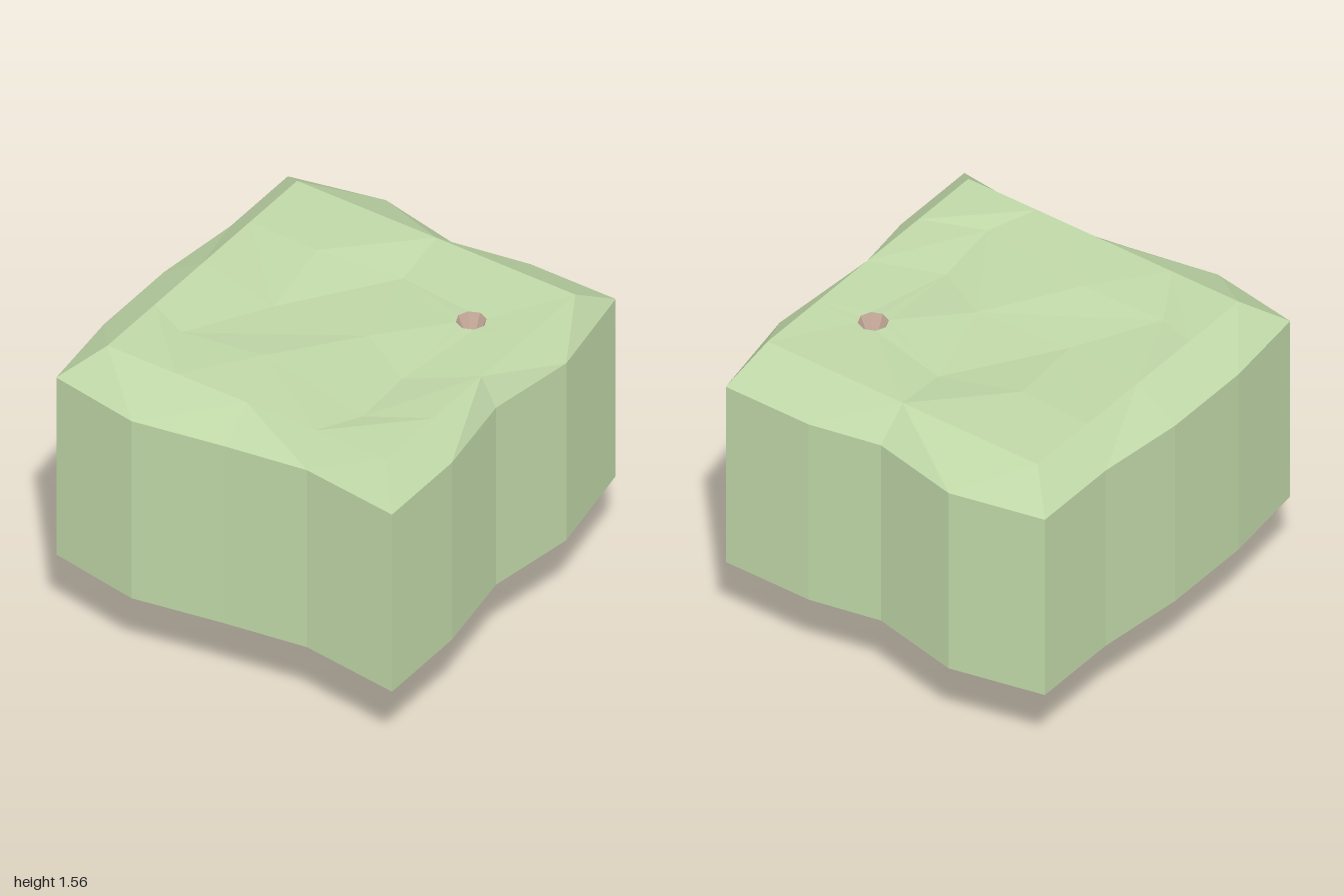
import * as THREE from 'three';

const SOIL = { color: 0xc0d8a8, flatShading: true, side: THREE.DoubleSide };
const CLAY = { color: 0xc4a898, flatShading: true, side: THREE.DoubleSide };
const V = (p) => new THREE.Vector3(...p);

function addMesh(group, name, geometry, material) {
  const mesh = new THREE.Mesh(geometry, material);
  mesh.name = name;
  group.add(mesh);
  return mesh;
}

// Facet geometry from a list of quads, each split along one diagonal
function quadsToGeometry(quads) {
  const points = [];
  quads.forEach(([a, b, c, d], i) => {
    points.push(...(i % 2 ? [a, b, d, b, c, d] : [a, b, c, a, c, d]));
  });
  const geometry = new THREE.BufferGeometry().setFromPoints(points.map(V));
  geometry.computeVertexNormals();
  return geometry;
}

// Lay a loop of quads between two closed rings
function bridge(inner, outer) {
  return inner.map((p, i) => {
    const j = (i + 1) % inner.length;
    return [p, outer[i], outer[j], inner[j]];
  });
}

// Border cells of a square patch, anticlockwise seen from above
function border(r0, c0, n) {
  const cells = [];
  for (let i = 0; i < n; i++) cells.push([r0 + i, c0]);
  for (let i = 0; i < n; i++) cells.push([r0 + n, c0 + i]);
  for (let i = 0; i < n; i++) cells.push([r0 + n - i, c0 + n]);
  for (let i = 0; i < n; i++) cells.push([r0, c0 + n - i]);
  return cells;
}

const HOLE = [0.5, 1.56, -0.33];
const HOLE_RADIUS = 0.07;

function buildGround(group, material) {
  // Top surface: 5 x 5 grid with a level rim and uneven middle
  const xs = [-0.72, -0.35, 0.03, 0.4, 0.78];
  const zs = [-0.74, -0.37, 0, 0.38, 0.75];
  const grid = zs.map((z) => xs.map((x) => [x, 1.57, z]));
  const middle = [
    [[-0.35, 1.575, -0.36], [0.05, 1.53, -0.45], HOLE],
    [[-0.3, 1.54, 0.06], [0.18, 1.55, 0.01], [0.47, 1.53, 0.17]],
    [[-0.52, 1.55, 0.46], [-0.1, 1.575, 0.42], [0.5, 1.55, 0.52]],
  ];
  middle.forEach((row, r) => row.forEach((p, c) => { grid[r + 1][c + 1] = p; }));

  const top = [];
  for (let r = 0; r < 4; r++) {
    for (let c = 0; c < 4; c++) {
      if (r < 2 && c > 1) continue; // space for the entrance
      top.push([grid[r][c], grid[r + 1][c], grid[r + 1][c + 1], grid[r][c + 1]]);
    }
  }
  // Octagonal opening joined to the eight grid points around it
  const around = border(0, 2, 2);
  const mouth = around.map(([r, c]) => {
    const a = Math.atan2(r - 1, c - 3);
    return [HOLE[0] + HOLE_RADIUS * Math.cos(a), HOLE[1], HOLE[2] + HOLE_RADIUS * Math.sin(a)];
  });
  top.push(...bridge(mouth, around.map(([r, c]) => grid[r][c])));
  addMesh(group, 'groundTop', quadsToGeometry(top), material);

  // Wavy outline: left, front, right, back
  const outline = [
    [-0.88, -0.9], [-0.88, -0.45], [-0.93, 0], [-0.93, 0.47],
    [-0.88, 0.92], [-0.42, 1], [0.03, 0.92], [0.43, 0.86],
    [0.93, 0.92], [0.93, 0.45], [0.86, 0], [0.93, -0.45],
    [0.84, -0.97], [0.38, -0.97], [0.03, -0.9], [-0.42, -1],
  ];
  const atHeight = (y) => outline.map(([x, z]) => [x, y, z]);
  const rim = border(0, 0, 4).map(([r, c]) => grid[r][c]);
  addMesh(group, 'groundBevel', quadsToGeometry(bridge(rim, atHeight(1.43))), material);
  // Open-bottomed side walls
  addMesh(group, 'groundWalls', quadsToGeometry(bridge(atHeight(1.43), atHeight(0.45))), material);
}

function buildTunnels(group, material) {
  const J = [-0.2, 0.76, -0.06]; // where the tunnels meet
  const tunnels = {
    entranceTunnel: [[0.5, 1.48, -0.33], [0.51, 1.2, -0.28], [0.52, 0.9, -0.12], [0.47, 0.84, -0.06], J],
    frontTunnel: [J, [-0.19, 0.71, 0.36], [-0.15, 0.69, 0.41], [0.1, 0.7, 0.5], [0.14, 0.66, 0.52], [0.22, 0.69, 0.6]],
    backTunnel: [J, [-0.2, 0.78, -0.4], [-0.24, 0.78, -0.46], [-0.31, 0.68, -0.43]],
    upperTunnel: [J, [-0.2, 1.05, -0.06], [-0.23, 1.1, -0.08], [-0.36, 1.14, -0.16]],
    lowerTunnel: [J, [-0.35, 0.73, -0.06], [-0.395, 0.64, -0.05], [-0.37, 0.45, -0.01], [-0.365, 0.36, 0],
      [-0.425, 0.2, 0], [-0.38, 0.135, 0], [-0.2, 0.125, 0], [-0.175, 0.125, -0.03], [-0.175, 0.1, -0.32]],
  };
  for (const [name, points] of Object.entries(tunnels)) {
    const path = new THREE.CatmullRomCurve3(points.map(V), false, 'centripetal');
    addMesh(group, name, new THREE.TubeGeometry(path, points.length * 3, 0.029, 7), material);
  }

  // Funnel at the surface
  const funnel = new THREE.CylinderGeometry(HOLE_RADIUS, 0.027, 0.1, 8, 1, true);
  addMesh(group, 'entranceFunnel', funnel, material).position.set(HOLE[0], HOLE[1] - 0.05, HOLE[2]);
}

function buildChambers(group, material) {
  // Rounded chambers: name, centre, half sizes
  const rooms = [
    ['frontChamber', [0.28, 0.7, 0.65], [0.15, 0.12, 0.14]],
    ['backChamber', [-0.32, 0.63, -0.41], [0.15, 0.14, 0.15]],
    ['upperChamber', [-0.39, 1.18, -0.2], [0.12, 0.1, 0.12]],
  ];
  for (const [name, centre, size] of rooms) {
    const mesh = addMesh(group, name, new THREE.SphereGeometry(1, 8, 6), material);
    mesh.position.set(...centre);
    mesh.scale.set(...size);
  }

  // Lowest chamber: flattened, swelling towards a blunt back end
  const profile = [[0.045, 0], [0.068, 0.04], [0.1, 0.11], [0.09, 0.16], [0.06, 0.2], [0, 0.205]];
  const lathe = new THREE.LatheGeometry(profile.map(([r, h]) => new THREE.Vector2(r, h)), 8);
  lathe.rotateX(-Math.PI / 2);
  lathe.scale(1, 0.65, 1);
  lathe.rotateX(-0.12);
  addMesh(group, 'lowestChamber', lathe, material).position.set(-0.175, 0.09, -0.3);
}

export function createModel() {
  const model = new THREE.Group();
  model.name = 'undergroundNest';
  const soil = new THREE.MeshStandardMaterial(SOIL);
  const clay = new THREE.MeshStandardMaterial(CLAY);
  const ground = new THREE.Group();
  ground.name = 'ground';
  const nest = new THREE.Group();
  nest.name = 'nest';
  buildGround(ground, soil);
  buildTunnels(nest, clay);
  buildChambers(nest, clay);
  model.add(ground, nest);
  return model;
}
